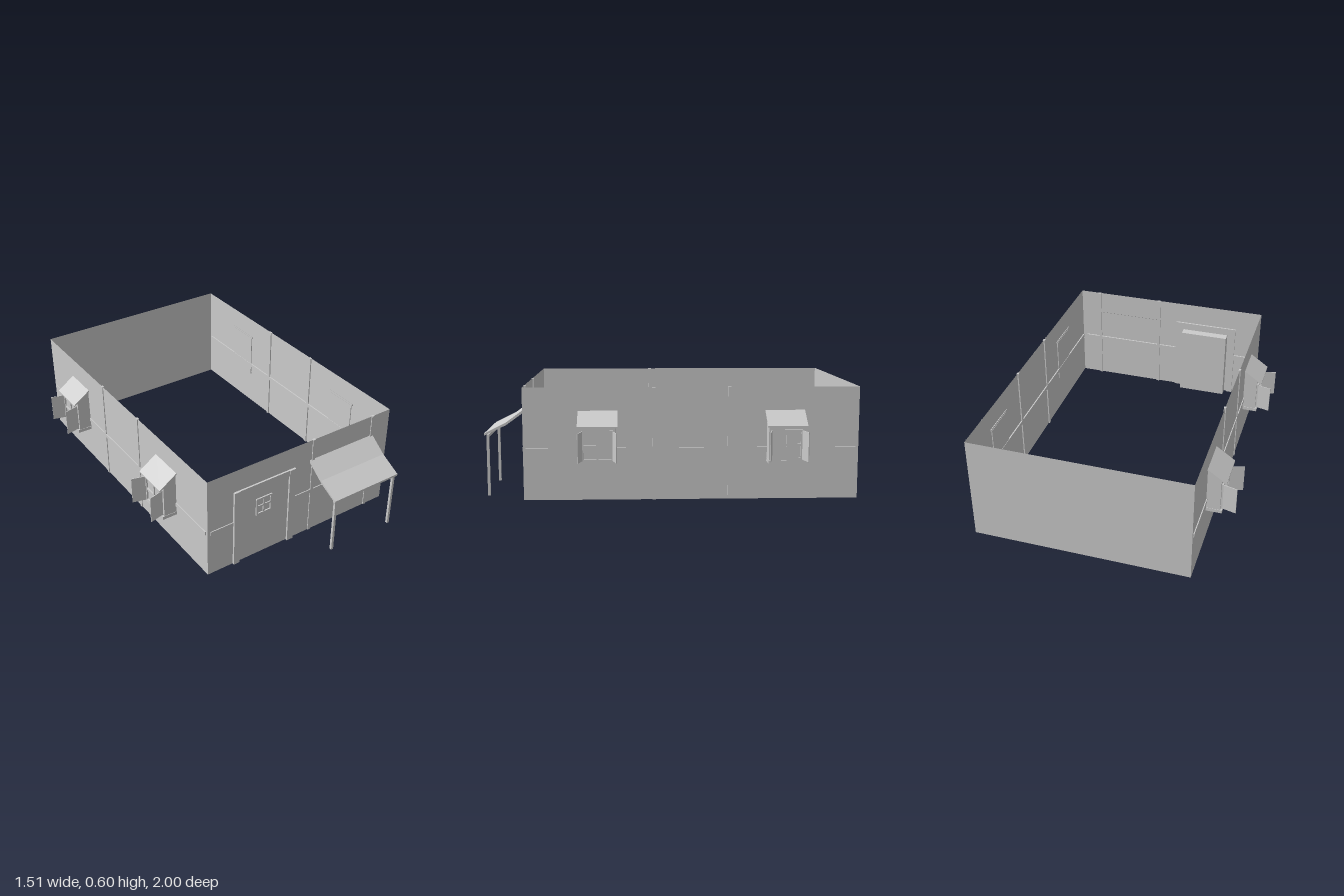
import * as THREE from 'three';

const grey = new THREE.MeshStandardMaterial({ color: 0xcccccc, flatShading: true, side: THREE.DoubleSide });

function add(parent, name, geometry) {
  const mesh = new THREE.Mesh(geometry, grey);
  mesh.name = name;
  parent.add(mesh);
  return mesh;
}

// Box given by its lower and upper limits on each axis
function box(parent, name, [x0, x1], [y0, y1], [z0, z1]) {
  const mesh = add(parent, name, new THREE.BoxGeometry(x1 - x0, y1 - y0, z1 - z0));
  mesh.position.set((x0 + x1) / 2, (y0 + y1) / 2, (z0 + z1) / 2);
  return mesh;
}

function wall(parent, name, width, x, z, turn) {
  const mesh = add(parent, name, new THREE.PlaneGeometry(width, 0.6));
  mesh.position.set(x, 0.3, z);
  mesh.rotation.y = turn;
}

// Side profile given as [outward, y] points, extruded along the wall
function profile(points, length) {
  const shape = new THREE.Shape(points.map(([u, v]) => new THREE.Vector2(u, v)));
  return new THREE.ExtrudeGeometry(shape, { depth: length, bevelEnabled: false });
}

// Four-pane window frame lying in the local xy plane
function windowFrame(name, w, h, bar, depth) {
  const g = new THREE.Group();
  g.name = name;
  const d = [0, depth];
  for (const s of [-1, 1]) {
    const x = s * (w - bar) / 2, y = s * (h - bar) / 2;
    box(g, 'windowStile', [x - bar / 2, x + bar / 2], [-h / 2, h / 2], d);
    box(g, 'windowRail', [-w / 2, w / 2], [y - bar / 2, y + bar / 2], d);
  }
  box(g, 'windowMullion', [-bar / 2, bar / 2], [-h / 2, h / 2], [0, depth * 0.8]);
  box(g, 'windowCrossbar', [-w / 2, w / 2], [-bar / 2, bar / 2], [0, depth * 0.8]);
  return g;
}

// Bay window on the +x side, centred on z = 0
function bayWindow() {
  const g = new THREE.Group();
  g.name = 'bayWindow';
  const body = add(g, 'bayBody', profile([[0.592, 0.205], [0.672, 0.205], [0.672, 0.413], [0.592, 0.468]], 0.19));
  body.position.z = -0.095;
  const roof = add(g, 'bayRoof', profile([[0.59, 0.473], [0.70, 0.398], [0.70, 0.406], [0.59, 0.482]], 0.21));
  roof.position.z = -0.105;
  box(g, 'baySill', [0.595, 0.682], [0.203, 0.222], [-0.097, 0.097]);
  const frame = windowFrame('bayFrame', 0.165, 0.16, 0.011, 0.009);
  frame.rotation.y = Math.PI / 2;
  frame.position.set(0.672, 0.302, 0);
  g.add(frame);
  for (const s of [-1, 1]) {
    const shutter = box(g, 'shutter', [0.68, 0.757], [0.225, 0.38], [-0.002, 0.002]);
    shutter.position.set(0.718, 0.302, s * 0.09);
    shutter.rotation.y = -s * 0.25;
  }
  return g;
}

// Long wall on the +x side with its timbers and bays
function sideWall(name) {
  const g = new THREE.Group();
  g.name = name;
  wall(g, 'sidePanel', 1.78, 0.597, -0.11, Math.PI / 2);
  const t = [0.59, 0.602];
  for (const z of [0.09, -0.31]) box(g, 'sidePost', t, [0, 0.6], [z - 0.009, z + 0.009]);
  for (const [a, b] of [[0.099, 0.765], [-0.301, 0.081], [-0.985, -0.319]])
    box(g, 'sideRail', t, [0.258, 0.28], [a, b]);
  for (const z of [0.385, -0.605]) {
    const bay = bayWindow();
    bay.position.z = z;
    g.add(bay);
  }
  return g;
}

export function createModel() {
  const model = new THREE.Group();
  model.name = 'building';

  // Walls
  wall(model, 'frontPanel', 1.194, 0, 0.78, 0);
  wall(model, 'backPanel', 1.194, 0, -1, Math.PI);
  const left = sideWall('leftWall');
  const right = sideWall('rightWall');
  right.scale.x = -1;
  model.add(left, right);

  // Front timbers
  const t = [0.771, 0.785];
  for (const x of [0.07, 0.475]) box(model, 'frontPost', [x - 0.009, x + 0.009], [0, 0.6], t);
  for (const [a, b] of [[-0.58, -0.44], [-0.05, 0.061], [0.079, 0.466], [0.484, 0.572]])
    box(model, 'frontRail', [a, b], [0.258, 0.28], t);

  // Door with frame and small window
  const door = new THREE.Group();
  door.name = 'door';
  box(door, 'doorLeaf', [-0.405, -0.09], [0.005, 0.435], [0.77, 0.783]);
  box(door, 'doorInnerBlock', [-0.39, -0.10], [0.005, 0.425], [0.72, 0.775]);
  box(door, 'doorPost', [-0.44, -0.405], [0, 0.47], [0.77, 0.793]);
  box(door, 'doorPost', [-0.09, -0.05], [0, 0.47], [0.77, 0.793]);
  box(door, 'doorLintel', [-0.405, -0.09], [0.435, 0.47], [0.77, 0.79]);
  const pane = windowFrame('doorWindow', 0.1, 0.105, 0.01, 0.008);
  pane.position.set(-0.25, 0.318, 0.782);
  door.add(pane);
  model.add(door);

  // Awning on two posts
  const awning = new THREE.Group();
  awning.name = 'awning';
  const cover = add(awning, 'awningCover', profile([
    [0.775, 0.463], [0.88, 0.387], [1.0, 0.33], [1.0, 0.342], [0.88, 0.402], [0.775, 0.479],
  ], 0.435));
  cover.rotation.y = -Math.PI / 2;
  cover.position.x = 0.485;
  box(awning, 'awningBeam', [0.057, 0.48], [0.32, 0.335], [0.975, 0.988]);
  for (const x of [0.069, 0.473])
    box(awning, 'awningPost', [x - 0.007, x + 0.007], [0, 0.335], [0.974, 0.988]);
  model.add(awning);

  return model;
}
